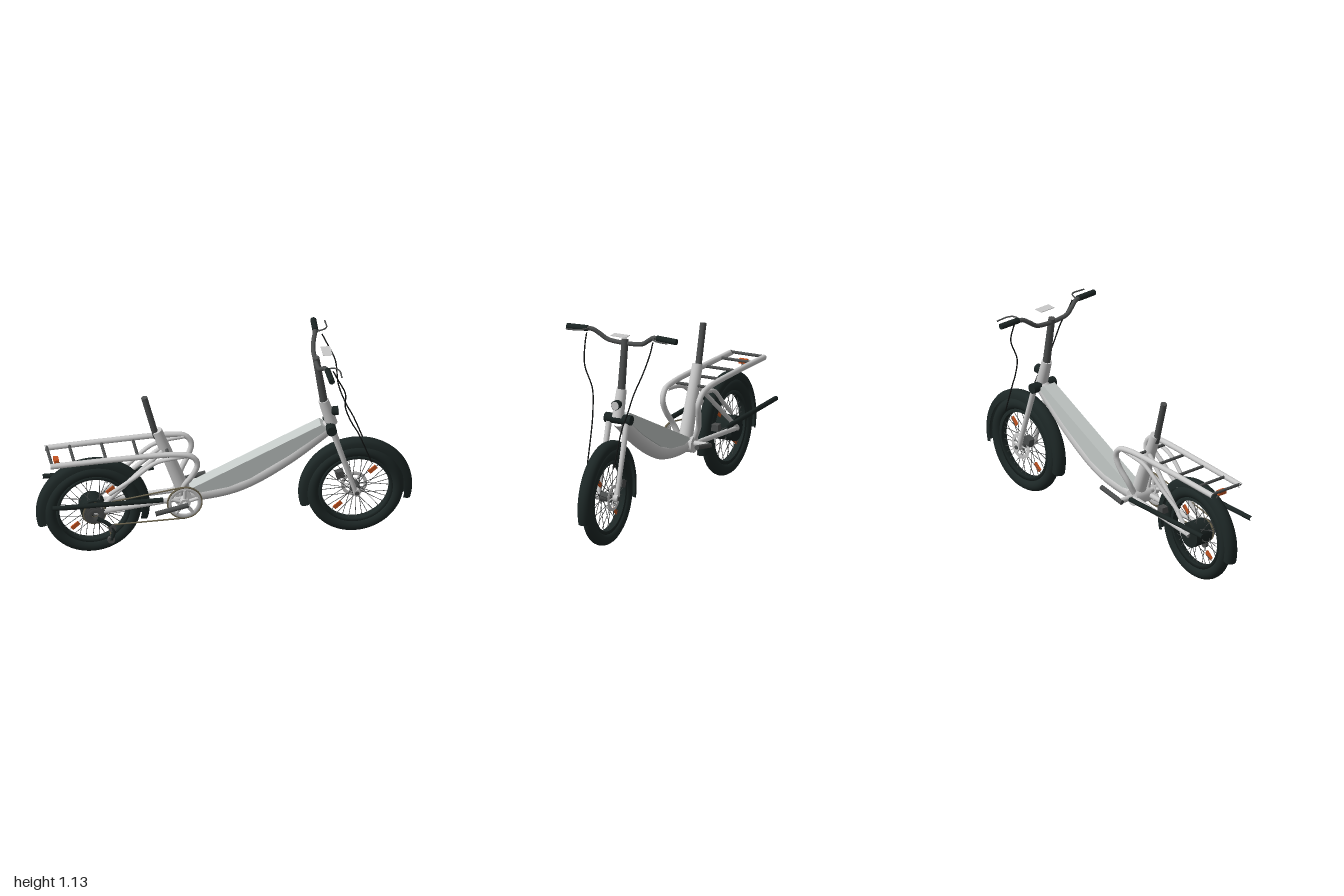
import * as THREE from 'three';

const mat = (name, color, side = THREE.FrontSide) => {
  const m = new THREE.MeshStandardMaterial({ color, side });
  m.name = name;
  return m;
};
const V = (x, y, z = 0) => new THREE.Vector3(x, y, z);

export function createModel() {
  const silver = mat('silver', 0xc9c9c9);
  const panelGrey = mat('panel grey', 0xc3c9c7, THREE.DoubleSide);
  const rubber = mat('rubber', 0x1d2726, THREE.DoubleSide);
  const board = mat('board dark', 0x1b2423);
  const steel = mat('dark steel', 0x4b4d4d);
  const black = mat('cable black', 0x121414);
  const brass = mat('chain brass', 0x6e6650);
  const orange = mat('reflector orange', 0xc4521f);

  const root = new THREE.Group();
  root.name = 'cargoBicycle';
  const add = (name, geo, material, parent = root) => {
    const m = new THREE.Mesh(geo, material);
    m.name = name;
    parent.add(m);
    return m;
  };
  // straight round bar between two points
  const rod = (name, a, b, r, material, parent = root, r2 = r, sides = 14, open = false) => {
    const m = add(name, new THREE.CylinderGeometry(r2, r, a.distanceTo(b), sides, 1, open), material, parent);
    m.position.copy(a).lerp(b, 0.5);
    m.quaternion.setFromUnitVectors(V(0, 1), b.clone().sub(a).normalize());
    return m;
  };
  // smooth bent pipe
  const pipe = (name, pts, r, material, parent = root, seg = 48) =>
    add(name, new THREE.TubeGeometry(new THREE.CatmullRomCurve3(pts, false, 'centripetal'), seg, r, 12), material, parent);
  const box = (name, w, h, d, p, material, parent = root, rz = 0) => {
    const m = add(name, new THREE.BoxGeometry(w, h, d), material, parent);
    m.position.copy(p);
    m.rotation.z = rz;
    return m;
  };
  // flat ring turned about the z axis
  const ring = (name, rIn, rOut, depth, p, material, parent = root) => {
    const h = depth / 2;
    const prof = [[rIn, -h], [rOut, -h], [rOut, h], [rIn, h], [rIn, -h]].map(q => new THREE.Vector2(...q));
    const m = add(name, new THREE.LatheGeometry(prof, 48), material, parent);
    m.rotation.x = Math.PI / 2;
    m.position.copy(p);
    return m;
  };

  // wheels with tyre, rim, spokes, reflectors and mudguard
  const makeWheel = (name, x, hubR) => {
    const g = new THREE.Group();
    g.name = name;
    g.position.set(x, 0.258, 0);
    root.add(g);
    add('tyre', new THREE.TorusGeometry(0.225, 0.033, 16, 64), rubber, g);
    ring('rim', 0.18, 0.2, 0.036, V(0, 0, 0), rubber, g);
    for (let i = 0; i < 32; i++) {
      const a = (i / 32) * Math.PI * 2, b = a + (i % 4 < 2 ? 0.45 : -0.45), s = i % 2 ? 1 : -1;
      rod('spoke', V(Math.cos(b) * hubR, Math.sin(b) * hubR, s * 0.03),
        V(Math.cos(a) * 0.184, Math.sin(a) * 0.184, 0), 0.0017, steel, g, 0.0017, 5);
    }
    rod('axle', V(0, 0, -0.07), V(0, 0, 0.07), 0.012, steel, g);
    for (const s of [-1, 1])
      box('spokeReflector', 0.05, 0.022, 0.008, V(s * 0.093, s * 0.1, 0), orange, g, 0.7);
    const prof = [[0.258, -0.034], [0.28, -0.033], [0.295, -0.024], [0.302, -0.008], [0.302, 0.008],
      [0.295, 0.024], [0.28, 0.033], [0.258, 0.034]].map(q => new THREE.Vector2(...q));
    const guard = add('mudguard', new THREE.LatheGeometry(prof, 56, Math.PI * 75 / 180, Math.PI * 210 / 180), rubber, g);
    guard.rotation.x = Math.PI / 2;
    return g;
  };
  const rear = makeWheel('rearWheel', -0.698, 0.05);
  const front = makeWheel('frontWheel', 0.697, 0.025);

  // rear hub motor and sprockets
  rod('hubMotor', V(0, 0, -0.06), V(0, 0, 0.045), 0.068, board, rear, 0.068, 32);
  for (let i = 0; i < 4; i++)
    ring('sprocket', 0.02, 0.064 - i * 0.007, 0.004, V(0, 0, 0.058 + i * 0.009), i ? steel : brass, rear);
  // front hub, brake disc and caliper
  rod('frontHub', V(0, 0, -0.035), V(0, 0, 0.035), 0.025, steel, front);
  ring('brakeDisc', 0.052, 0.07, 0.004, V(0, 0, -0.038), silver, front);
  for (let i = 0; i < 6; i++) {
    const a = i * Math.PI / 3;
    rod('discArm', V(0, 0, -0.038), V(Math.cos(a) * 0.055, Math.sin(a) * 0.055, -0.038), 0.004, silver, front, 0.004, 6);
  }
  box('brakeCaliper', 0.045, 0.04, 0.035, V(-0.075, 0.062, -0.045), steel, front, 0.3);

  // curved main beam and step-through panel
  const beam = [V(-0.24, 0.30), V(-0.135, 0.299), V(0.025, 0.32), V(0.15, 0.365), V(0.355, 0.487), V(0.56, 0.645)];
  pipe('mainBeam', beam, 0.039, silver);
  const shape = new THREE.Shape();
  shape.moveTo(-0.2, 0.335);
  shape.lineTo(-0.17, 0.355);
  shape.lineTo(0.51, 0.676);
  shape.lineTo(0.55, 0.65);
  for (const [x, y] of [[0.34, 0.505], [0.135, 0.385], [0.02, 0.343], [-0.13, 0.322]]) shape.lineTo(x, y);
  const panel = add('stepPanel', new THREE.ExtrudeGeometry(shape, { depth: 0.076, bevelEnabled: false }), panelGrey);
  panel.position.z = -0.038;

  // seat tube, post and bottom bracket
  rod('seatTube', V(-0.215, 0.32), V(-0.358, 0.70), 0.038, silver, root, 0.028, 20);
  rod('seatPost', V(-0.36, 0.66), V(-0.425, 0.907), 0.017, steel);
  rod('bottomBracket', V(-0.225, 0.30, -0.05), V(-0.225, 0.30, 0.05), 0.045, silver, root, 0.045, 24);
  rod('crankAxle', V(-0.225, 0.305, -0.13), V(-0.225, 0.305, 0.13), 0.015, silver);

  // crank arms
  rod('leftCrank', V(-0.21, 0.307, 0.132), V(-0.385, 0.272, 0.137), 0.013, steel);
  rod('rightCrank', V(-0.24, 0.302, -0.132), V(-0.078, 0.335, -0.137), 0.013, steel);

  // chainring, chain and derailleur
  const drive = new THREE.Group();
  drive.name = 'drivetrain';
  root.add(drive);
  const c = V(-0.225, 0.305, 0.1);
  ring('chainring', 0.07, 0.088, 0.008, c, silver, drive);
  ring('chainringTeeth', 0.088, 0.095, 0.008, c, brass, drive);
  rod('chainringHub', V(c.x, c.y, 0.09), V(c.x, c.y, 0.115), 0.028, silver, drive);
  for (let i = 0; i < 5; i++) {
    const a = i * Math.PI * 0.4 + 0.3;
    rod('chainringArm', c, V(c.x + Math.cos(a) * 0.076, c.y + Math.sin(a) * 0.076, 0.1), 0.009, silver, drive);
  }
  rod('chainTop', V(-0.235, 0.399, 0.1), V(-0.705, 0.322, 0.085), 0.004, brass, drive, 0.004, 6);
  rod('chainBottom', V(-0.225, 0.211, 0.1), V(-0.605, 0.205, 0.1), 0.004, brass, drive, 0.004, 6);
  rod('chainReturn', V(-0.61, 0.125, 0.11), V(-0.64, 0.23, 0.1), 0.004, brass, drive, 0.004, 6);
  pipe('derailleurCage', [V(-0.69, 0.25, 0.1), V(-0.635, 0.22, 0.112), V(-0.605, 0.18, 0.118), V(-0.618, 0.125, 0.118)], 0.011, board, drive);
  for (const [x, y] of [[-0.612, 0.195], [-0.618, 0.125]])
    rod('jockeyWheel', V(x, y, 0.108), V(x, y, 0.126), 0.02, steel, drive);

  // rear triangle, rack sides and running boards, mirrored
  for (const s of [-1, 1]) {
    rod('chainStay', V(-0.70, 0.262, s * 0.06), V(-0.23, 0.302, s * 0.045), 0.014, silver);
    rod('seatStay', V(-0.70, 0.262, s * 0.062), V(-0.33, 0.585, s * 0.02), 0.012, silver);
    pipe('rackStrut', [V(-0.62, 0.37, s * 0.065), V(-0.5, 0.46, s * 0.078), V(-0.38, 0.555, s * 0.09),
      V(-0.3, 0.578, s * 0.098), V(-0.2, 0.59, s * 0.1)], 0.011, silver);
    pipe('rackRail', [V(-0.94, 0.588, s * 0.097), V(-0.6, 0.602, s * 0.1), V(-0.27, 0.606, s * 0.105),
      V(-0.19, 0.59, s * 0.108), V(-0.158, 0.545, s * 0.105), V(-0.175, 0.48, s * 0.098),
      V(-0.22, 0.4, s * 0.075), V(-0.235, 0.33, s * 0.045)], 0.015, silver);
    rod('runningBoard', V(-0.94, 0.373, s * 0.168), V(-0.35, 0.373, s * 0.168), 0.013, board, root, 0.013, 12, true);
  }
  for (const x of [-0.93, -0.81, -0.64, -0.47, -0.31])
    rod('rackCrossbar', V(x, 0.595, -0.1), V(x, 0.595, 0.1), 0.008, steel);
  rod('mudguardStay', V(-0.9, 0.575), V(-0.84, 0.5), 0.005, steel);
  box('rearReflector', 0.025, 0.024, 0.048, V(-0.893, 0.566), orange);
  box('frameLock', 0.04, 0.035, 0.04, V(-0.475, 0.325, -0.05), steel);

  // head tube, lamp and fork
  rod('headTube', V(0.572, 0.66), V(0.528, 0.805), 0.032, silver, root, 0.027, 24);
  rod('lampHousing', V(0.555, 0.735), V(0.605, 0.735), 0.023, board, root, 0.025, 20);
  rod('lampLens', V(0.604, 0.735), V(0.608, 0.735), 0.022, silver, root, 0.022, 20);
  rod('forkCrown', V(0.562, 0.652, -0.076), V(0.562, 0.652, 0.076), 0.027, board, root, 0.027, 20);
  for (const s of [-1, 1]) {
    rod('forkLeg', V(0.572, 0.635, s * 0.052), V(0.692, 0.258, s * 0.054), 0.016, silver, root, 0.012);
    rod('forkDropout', V(0.697, 0.258, s * 0.04), V(0.697, 0.258, s * 0.066), 0.02, silver);
  }

  // stem, handlebar and display plate
  rod('stem', V(0.532, 0.79), V(0.488, 1.07), 0.021, steel, root, 0.018, 18);
  const half = [[0.488, 1.05, 0.06], [0.49, 1.058, 0.105], [0.498, 1.085, 0.145], [0.51, 1.107, 0.18], [0.518, 1.11, 0.22]];
  pipe('handlebar', [...half.map(([x, y, z]) => V(x, y, -z)).reverse(), V(0.487, 1.048),
    ...half.map(p => V(...p))], 0.012, steel, root, 80);
  add('displayPlate', new THREE.BoxGeometry(0.05, 0.003, 0.09), silver).position.set(0.545, 1.105, 0);

  // grips, levers and cables, mirrored
  for (const s of [-1, 1]) {
    rod('grip', V(0.518, 1.11, s * 0.205), V(0.524, 1.107, s * 0.322), 0.016, board);
    pipe('brakeLever', [V(0.52, 1.112, s * 0.195), V(0.555, 1.116, s * 0.2), V(0.578, 1.114, s * 0.222),
      V(0.582, 1.11, s * 0.3)], 0.004, steel, root, 24);
    pipe('brakeCable', [V(0.55, 1.095, s * 0.195), V(0.575, 1.04, s * 0.192), V(0.618, 0.94, s * 0.172),
      V(0.627, 0.82, s * 0.122), V(0.665, 0.71, s * 0.1), V(0.7, 0.64, s * 0.088), V(0.772, 0.45, s * 0.078)], 0.0035, black);
  }
  return root;
}
